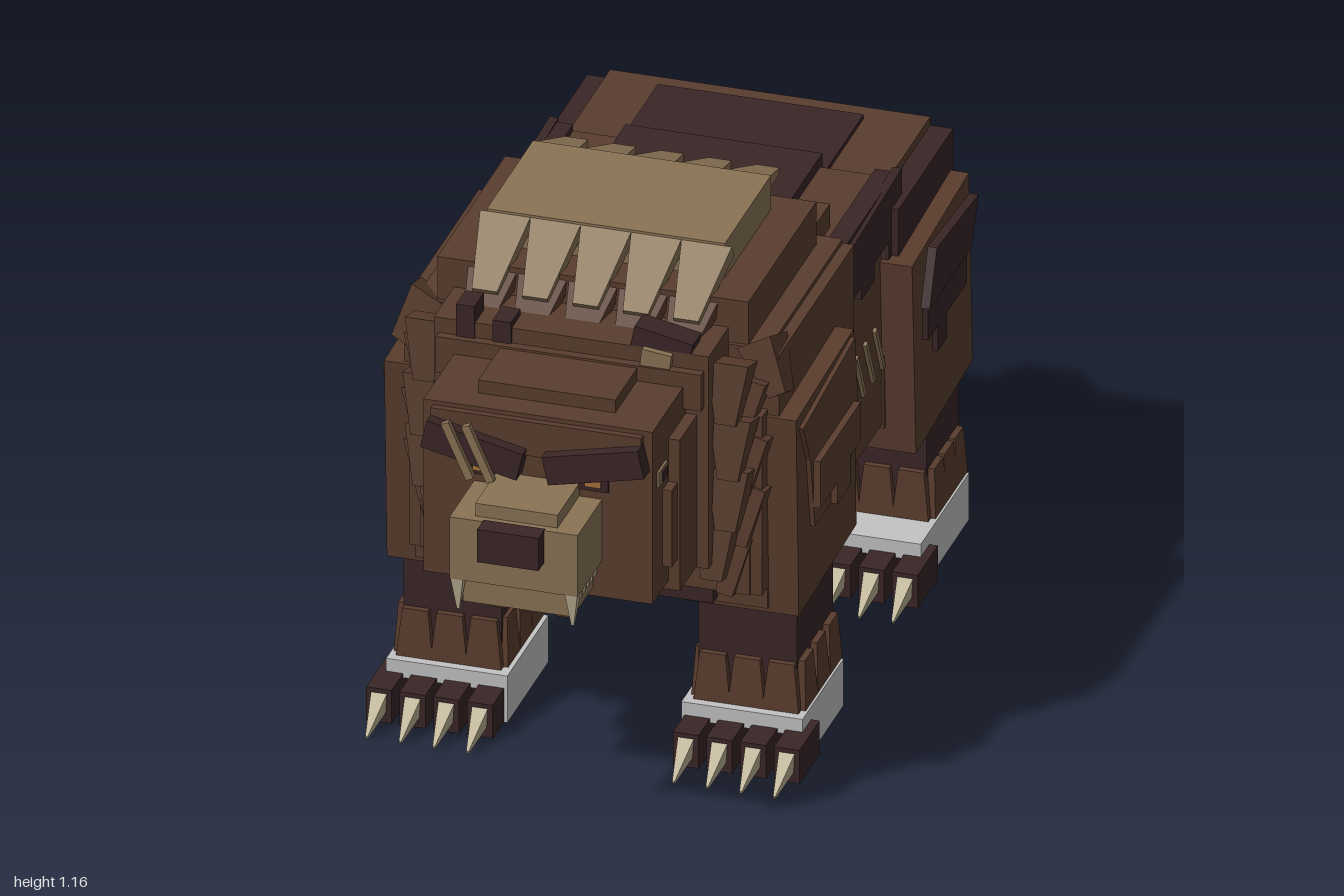
import * as THREE from 'three';

const mat = (name, color) => {
  const m = new THREE.MeshStandardMaterial({ color });
  m.name = name;
  return m;
};

export function createModel() {
  const bear = new THREE.Group();
  bear.name = 'bear';
  const brown = mat('brown fur', 0x5a3d2e), dark = mat('dark fur', 0x3a2627), tan = mat('tan fur', 0x8a7355);
  const grey = mat('paw grey', 0xc4c4c4), ivory = mat('ivory', 0xbdb294), amber = mat('amber eye', 0xa8743c);

  const add = (name, geo, m) => {
    const mesh = new THREE.Mesh(geo, m);
    mesh.name = name;
    bear.add(mesh);
    return mesh;
  };
  // Box given by its extents; rot turns it about its own centre
  const box = (name, m, x0, x1, y0, y1, z0, z1, rot = [0, 0, 0]) => {
    const mesh = add(name, new THREE.BoxGeometry(Math.abs(x1 - x0), y1 - y0, Math.abs(z1 - z0)), m);
    mesh.position.set((x0 + x1) / 2, (y0 + y1) / 2, (z0 + z1) / 2);
    mesh.rotation.set(...rot);
    return mesh;
  };
  // Four-sided tapered tuft running from base a to tip b
  const tuft = (name, m, a, b, w, d, tip = 0.5) => {
    const A = new THREE.Vector3(...a), B = new THREE.Vector3(...b), dir = B.clone().sub(A);
    let g = new THREE.CylinderGeometry(Math.SQRT1_2, Math.SQRT1_2 * tip, 1, 4);
    g.rotateY(Math.PI / 4);
    g.scale(w, dir.length(), d);
    g = g.toNonIndexed();
    g.computeVertexNormals();
    const mesh = add(name, g, m);
    mesh.position.copy(A).add(B).multiplyScalar(0.5);
    mesh.quaternion.setFromUnitVectors(new THREE.Vector3(0, -1, 0), dir.normalize());
    return mesh;
  };
  // Flat pixel-edged patch on a side: outline in (z, y)
  const patch = (name, m, s, x, pts) => {
    const shape = new THREE.Shape(pts.map(([z, y]) => new THREE.Vector2(-z, y)));
    const g = new THREE.ExtrudeGeometry(shape, { depth: 0.02, bevelEnabled: false });
    g.rotateY(Math.PI / 2);
    g.translate(s > 0 ? x : -x - 0.02, 0, 0);
    return add(name, g, m);
  };

  // Torso
  box('chest', brown, -0.385, 0.385, 0.37, 0.98, -0.1, 0.42);
  box('chestFront', brown, -0.36, 0.36, 0.42, 0.9, 0.4, 0.465);
  box('chestPlate', brown, -0.385, 0.385, 0.42, 0.84, 0.4, 0.46);
  box('chestUnderside', dark, -0.275, 0.275, 0.38, 0.43, 0.3, 0.45);
  box('midBody', brown, -0.37, 0.37, 0.38, 0.92, -0.5, -0.1);
  box('hips', brown, -0.375, 0.375, 0.37, 0.87, -0.84, -0.42);
  box('hipTop', brown, -0.35, 0.35, 0.87, 0.9, -0.82, -0.5);
  box('belly', dark, -0.3, 0.3, 0.36, 0.39, -0.43, 0.4);
  box('backPlateFront', dark, -0.22, 0.21, 0.9, 0.945, -0.515, -0.26);
  box('backPlateRear', dark, -0.23, 0.22, 0.88, 0.91, -0.77, -0.515);
  box('backRidge', brown, -0.31, 0.31, 0.9, 0.975, -0.25, -0.1);
  box('upperHump', brown, -0.34, 0.34, 0.97, 1.08, -0.06, 0.41);
  box('hump', tan, -0.26, 0.26, 1.07, 1.16, 0, 0.32);
  box('neck', brown, -0.3, 0.3, 0.52, 1.02, 0.42, 0.56);
  box('rumpPlate', brown, -0.26, 0.26, 0.42, 0.72, -0.87, -0.84);
  box('rumpUpperPlate', brown, -0.11, 0.11, 0.62, 0.8, -0.88, -0.84);

  // Fringes around the hump, chest and rump
  for (let i = -2; i <= 2; i++) {
    const x = i * 0.11;
    tuft('humpFrontTuft', tan, [x, 1.14, 0.31], [x, 1.04, 0.46], 0.11, 0.035);
    tuft('humpRearTuft', tan, [x * 0.95, 1.145, 0.01], [x * 0.95, 1.095, -0.14], 0.1, 0.03);
    tuft('crownTuft', brown, [x, 1.06, 0.39], [x, 0.98, 0.53], 0.11, 0.035);
    tuft('backTuft', brown, [x * 1.15, 1.065, -0.05], [x * 1.15, 0.97, -0.2], 0.1, 0.03);
    tuft('chestTuft', tan, [x * 0.8, 0.54, 0.49], [x * 0.8, i ? 0.42 : 0.4, 0.485], 0.1, 0.025, 0.55);
  }
  box('chestBib', tan, -0.08, 0.1, 0.4, 0.47, 0.465, 0.48);
  for (const x of [-0.12, -0.04, 0.04, 0.12])
    tuft('rumpTuft', brown, [x, 0.62, -0.875], [x, 0.47, -0.865], 0.06, 0.02);

  // Head
  box('head', brown, -0.25, 0.25, 0.545, 0.95, 0.53, 0.79);
  box('headBack', brown, -0.275, 0.275, 0.525, 0.88, 0.5, 0.68);
  box('headTop', brown, -0.15, 0.15, 0.95, 0.98, 0.56, 0.73);
  box('foreheadRear', brown, -0.29, 0.29, 0.9, 0.985, 0.5, 0.58);
  box('brow', brown, -0.23, 0.23, 0.86, 0.94, 0.78, 0.805);
  box('muzzle', tan, -0.14, 0.14, 0.63, 0.775, 0.78, 0.96);
  box('muzzleBridge', tan, -0.09, 0.09, 0.77, 0.805, 0.78, 0.94);
  box('lowerJaw', tan, -0.12, 0.12, 0.565, 0.635, 0.78, 0.93);
  box('nose', dark, -0.067, 0.067, 0.7, 0.777, 0.955, 1);
  for (const x of [-0.07, 0, 0.07])
    tuft('chinTuft', brown, [x, 0.58, 0.84], [x, 0.515, 0.83], 0.06, 0.05);

  // Ears: one whole, one torn
  box('ear', dark, 0.13, 0.26, 0.985, 1.055, 0.5, 0.56, [0, 0, -0.2]);
  box('innerEar', tan, 0.155, 0.22, 0.96, 1.02, 0.555, 0.575, [0, 0, -0.12]);
  box('tornEarOuter', dark, -0.25, -0.21, 0.97, 1.06, 0.5, 0.565);
  box('tornEarInner', dark, -0.17, -0.13, 0.97, 1.035, 0.5, 0.565);
  for (const x of [-0.16, -0.115])
    box('faceScar', tan, x - 0.009, x + 0.009, 0.8, 0.935, 0.83, 0.845, [0, 0, 0.42]);

  // Belly fringe
  for (let i = 0; i < 5; i++)
    for (const s of [-1, 1])
      tuft('bellyTuft', dark, [s * 0.33, 0.4, -0.15 - i * 0.07], [s * 0.33, 0.36, -0.15 - i * 0.07], 0.03, 0.06, 0.6);

  // Everything that repeats left and right
  for (const s of [-1, 1]) {
    const B = (name, m, x0, x1, ...r) => box(name, m, s * x0, s * x1, ...r);
    B('eyeSocket', dark, 0.09, 0.155, 0.795, 0.845, 0.785, 0.797);
    B('eye', amber, 0.105, 0.14, 0.805, 0.835, 0.79, 0.801);
    B('sideEye', tan, 0.245, 0.255, 0.805, 0.84, 0.7, 0.76);
    B('sidePupil', dark, 0.25, 0.258, 0.81, 0.833, 0.71, 0.74);
    B('eyebrow', dark, 0.025, 0.24, 0.835, 0.9, 0.78, 0.832, [0, 0, s * 0.22]);
    B('cheek', brown, 0.24, 0.27, 0.6, 0.78, 0.56, 0.72);
    tuft('fang', ivory, [s * 0.125, 0.64, 0.945], [s * 0.125, 0.555, 0.945], 0.03, 0.03, 0.2);
    for (let i = 0; i < 5; i++)
      tuft('tooth', ivory, [s * 0.13, 0.635, 0.91 - i * 0.025], [s * 0.13, 0.605, 0.91 - i * 0.025], 0.015, 0.018, 0.4);

    // Mane beside the neck
    for (const [y, x] of [[0.98, 0.33], [0.85, 0.335], [0.73, 0.33], [0.61, 0.3]]) {
      tuft('maneTuft', brown, [s * x, y, 0.49], [s * x, y - 0.13, 0.525], 0.09, 0.07);
      tuft('maneSideTuft', brown, [s * (x + 0.03), y - 0.06, 0.44], [s * (x + 0.01), y - 0.19, 0.47], 0.07, 0.06);
    }
    tuft('upperManeTuft', brown, [s * 0.36, 0.98, 0.38], [s * 0.415, 0.88, 0.42], 0.08, 0.1);

    // Shoulder with layered fur panels
    B('shoulder', brown, 0.2, 0.45, 0.365, 0.835, 0.02, 0.42, [0.04, 0, 0]);
    B('upperShoulder', brown, 0.36, 0.41, 0.6, 0.97, -0.1, 0.42);
    patch('shoulderPanel', brown, s, 0.44, [[0.41, 0.8], [0.05, 0.835], [0.03, 0.66], [0.08, 0.56], [0.2, 0.53], [0.33, 0.53], [0.36, 0.7]]);
    patch('shoulderPatch', brown, s, 0.455, [[0.34, 0.69], [0.06, 0.69], [0.06, 0.6], [0.13, 0.6], [0.13, 0.53], [0.22, 0.53], [0.22, 0.58], [0.34, 0.58]]);
    tuft('elbowTuft', brown, [s * 0.36, 0.4, 0.09], [s * 0.36, 0.27, 0.01], 0.07, 0.06);

    // Dark saddle and haunch
    patch('saddle', dark, s, 0.365, [[-0.1, 0.92], [-0.51, 0.94], [-0.51, 0.76], [-0.42, 0.76], [-0.42, 0.81], [-0.32, 0.81], [-0.32, 0.77], [-0.23, 0.77], [-0.23, 0.8], [-0.1, 0.8]]);
    B('saddleTop', dark, 0.33, 0.375, 0.9, 0.935, -0.5, -0.1);
    B('haunchTop', dark, 0.32, 0.4, 0.74, 0.88, -0.82, -0.44);
    B('haunch', brown, 0.19, 0.44, 0.325, 0.78, -0.815, -0.42, [0.06, 0, 0]);
    patch('haunchPatch', dark, s, 0.432, [[-0.48, 0.66], [-0.75, 0.66], [-0.75, 0.56], [-0.61, 0.56], [-0.61, 0.5], [-0.55, 0.5], [-0.55, 0.56], [-0.48, 0.56]]);
    patch('haunchPlate', dark, s, 0.445, [[-0.5, 0.77], [-0.79, 0.75], [-0.74, 0.65], [-0.45, 0.65]]);
    B('rumpCorner', brown, 0.26, 0.42, 0.45, 0.7, -0.855, -0.8);

    // Legs, cuffs, hollow paws, toes and claws
    for (const [front, z0, z1] of [[0.4, 0.11, 0.36], [-0.42, -0.76, -0.54]]) {
      const back = front === 0.4 ? 0.115 : -0.755;
      B('leg', dark, 0.215, 0.43, 0.05, 0.42, z0, z1);
      for (let i = 0; i < 3; i++) {
        const x = s * (0.25 + i * 0.075), z = z0 + 0.04 + (i * (z1 - z0 - 0.08)) / 2;
        for (const ze of [z0, z1]) tuft('cuffTuft', brown, [x, 0.11, ze], [x, 0.22, ze], 0.08, 0.04, 0.7);
        for (const xe of [0.22, 0.43]) tuft('cuffTuft', brown, [s * xe, 0.11, z], [s * xe, 0.22, z], 0.04, 0.085, 0.7);
      }
      B('pawTop', grey, 0.19, 0.455, 0.085, 0.11, back, front);
      B('pawBack', grey, 0.19, 0.455, 0, 0.09, back, back + 0.04);
      B('pawFront', grey, 0.19, 0.455, 0.07, 0.09, front - 0.04, front);
      for (const x of [0.19, 0.42]) B('pawSide', grey, x, x + 0.035, 0, 0.09, back, front);
      for (let i = 0; i < 4; i++) {
        const x = 0.225 + i * 0.0735;
        B('toe', dark, x - 0.028, x + 0.028, 0.002, 0.08, front - 0.06, front + 0.08);
        tuft('claw', ivory, [s * x, 0.05, front + 0.07], [s * x, 0.008, front + 0.165], 0.035, 0.045, 0.15);
      }
    }
  }

  // Slashes on the left flank
  for (let i = 0; i < 3; i++)
    box('flankScar', tan, 0.368, 0.378, 0.51, 0.64, -0.262 - i * 0.065, -0.25 - i * 0.065, [0.45, 0, 0]);

  // Tail
  tuft('tail', brown, [0, 0.77, -0.84], [0, 0.71, -0.975], 0.18, 0.1, 0.75);
  tuft('tailTip', brown, [0, 0.8, -0.88], [0, 0.67, -0.985], 0.14, 0.05, 0.8);
  return bear;
}
